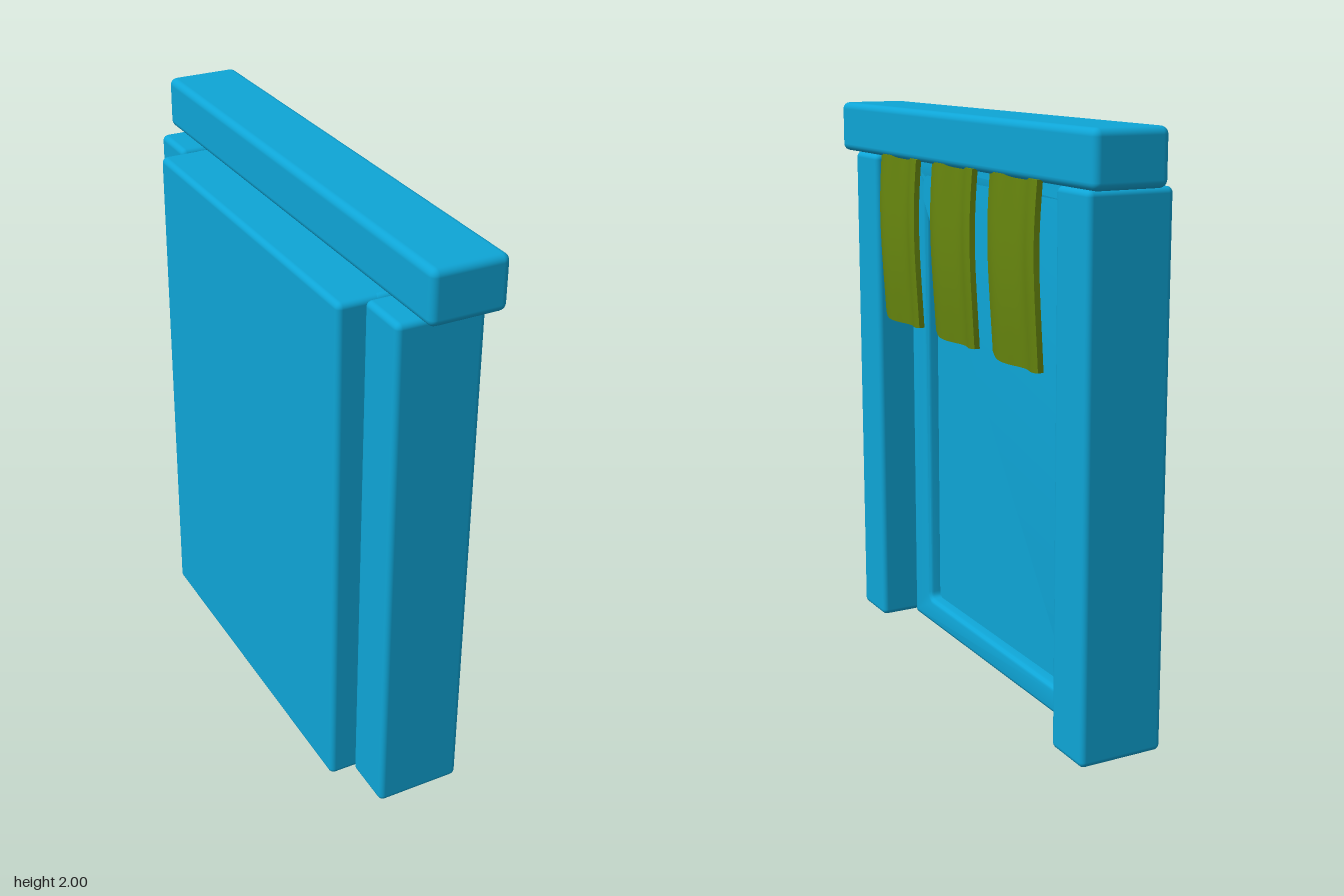
import * as THREE from 'three';
import { RoundedBoxGeometry } from 'three/addons/geometries/RoundedBoxGeometry.js';
import { toCreasedNormals } from 'three/addons/utils/BufferGeometryUtils.js';

const blue = new THREE.MeshStandardMaterial({ color: 0x0ea5d6 });
const olive = new THREE.MeshStandardMaterial({ color: 0x66850e });

// Rounded block given by its min and max corners
function block(name, [x0, y0, z0], [x1, y1, z1], radius = 0.02) {
  const geo = new RoundedBoxGeometry(x1 - x0, y1 - y0, z1 - z0, 3, radius);
  const mesh = new THREE.Mesh(geo, blue);
  mesh.position.set((x0 + x1) / 2, (y0 + y1) / 2, (z0 + z1) / 2);
  mesh.name = name;
  return mesh;
}

// Adds a rectangle with rounded corners to a shape or path
function roundedRect(path, x0, y0, x1, y1, r) {
  path.moveTo(x0 + r, y0);
  path.lineTo(x1 - r, y0);
  path.quadraticCurveTo(x1, y0, x1, y0 + r);
  path.lineTo(x1, y1 - r);
  path.quadraticCurveTo(x1, y1, x1 - r, y1);
  path.lineTo(x0 + r, y1);
  path.quadraticCurveTo(x0, y1, x0, y1 - r);
  path.lineTo(x0, y0 + r);
  path.quadraticCurveTo(x0, y0, x0 + r, y0);
  return path;
}

// Raised border around the recessed door panel
function doorBorder() {
  const shape = roundedRect(new THREE.Shape(), -0.655, 0, 0.655, 1.815, 0.02);
  shape.holes.push(roundedRect(new THREE.Path(), -0.52, 0.1, 0.52, 1.73, 0.025));
  const bevel = 0.018;
  const geo = new THREE.ExtrudeGeometry(shape, {
    depth: 0.13 - 2 * bevel, curveSegments: 4,
    bevelThickness: bevel, bevelSize: bevel, bevelOffset: -bevel, bevelSegments: 3,
  });
  geo.translate(0, 0, -0.1 + bevel);
  geo.rotateY(Math.PI / 2);
  const mesh = new THREE.Mesh(toCreasedNormals(geo, 0.7), blue);
  mesh.name = 'doorBorder';
  return mesh;
}

// Hanging cloth: a thin box bent into folds, with a sagging hem
function cloth(centreZ) {
  const width = 0.37, height = 0.6, thickness = 0.02;
  const geo = new THREE.BoxGeometry(thickness, height, width, 1, 16, 20);
  const pos = geo.attributes.position;
  for (let i = 0; i < pos.count; i++) {
    const u = 0.5 - pos.getZ(i) / width;   // across, from +z to -z
    const v = 0.5 - pos.getY(i) / height;  // down from the top
    const folds = 0.014 * Math.cos((2 * Math.PI * (u - 0.25)) / 0.7);
    const billow = 0.013 * Math.sin(Math.PI * v);
    const front = 0.172 + folds + billow + 0.014 * u;
    const hem = v * (0.015 * (1 - Math.sin(Math.PI * u)));
    pos.setXYZ(i,
      front + pos.getX(i) - thickness / 2,
      1.83 - v * 0.605 + hem,
      centreZ + pos.getZ(i) * (1 - 0.02 * v) - 0.015 * v + 0.004 * Math.sin(2 * Math.PI * v));
  }
  geo.computeVertexNormals();
  const mesh = new THREE.Mesh(geo, olive);
  mesh.name = 'cloth';
  return mesh;
}

export function createModel() {
  const model = new THREE.Group();
  model.name = 'curtainedDoorway';

  // Lintel and side posts
  model.add(block('lintel', [-0.07, 1.82, -0.92], [0.19, 2, 0.92], 0.025));
  model.add(block('leftPost', [-0.135, 0.005, 0.66], [0.165, 1.818, 0.85], 0.02));
  model.add(block('rightPost', [-0.135, 0.005, -0.85], [0.165, 1.818, -0.66], 0.02));

  // Door slab with its raised border
  const door = new THREE.Group();
  door.name = 'door';
  door.add(block('doorPanel', [-0.22, 0, -0.655], [-0.015, 1.815, 0.655]), doorBorder());
  model.add(door);

  // Three cloths hanging under the lintel
  const cloths = new THREE.Group();
  cloths.name = 'cloths';
  for (let i = -1; i <= 1; i++) cloths.add(cloth(0.425 * i));
  model.add(cloths);

  return model;
}
